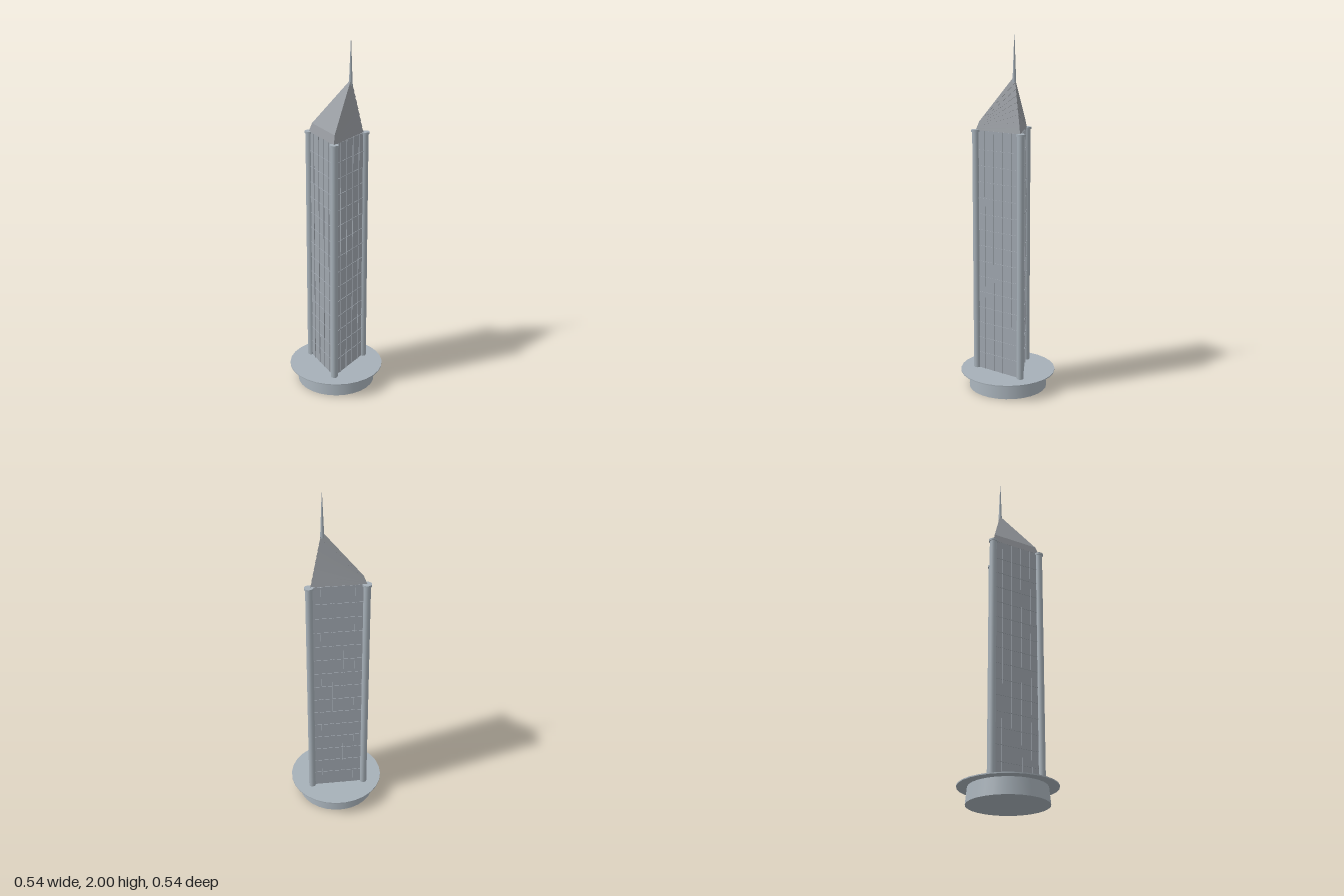
import * as THREE from 'three';

const mat = (name, color, extra = {}) => {
  const m = new THREE.MeshStandardMaterial({ color, ...extra });
  m.name = name;
  return m;
};

export function createModel() {
  const stone = mat('blue grey stone', 0xa6b0b8);
  const glass = mat('grey facade', 0x9fa6ae, { flatShading: true });
  const roofGrey = mat('roof grey', 0x989ca1, { flatShading: true });

  const tower = new THREE.Group();
  tower.name = 'tower';
  const add = (name, geo, material, x = 0, y = 0, z = 0, parent = tower) => {
    const m = new THREE.Mesh(geo, material);
    m.name = name;
    m.position.set(x, y, z);
    parent.add(m);
    return m;
  };

  // Round podium with a thin overhanging plate
  add('podium', new THREE.CylinderGeometry(0.213, 0.223, 0.095, 28), stone, 0, 0.0475);
  add('podiumPlate', new THREE.CylinderGeometry(0.27, 0.27, 0.006, 28), stone, 0, 0.097);

  // Triangular shaft, one corner towards +x
  const R = 0.178, bottom = 0.1, top = 1.482, height = top - bottom;
  const mid = (top + bottom) / 2;
  add('shaft', new THREE.CylinderGeometry(R, R, height, 3, 1, false, Math.PI / 2), glass, 0, mid);

  // Three corner columns with caps, and three facades with thin raised lines
  const side = R * Math.sqrt(3), inset = R / 2;
  for (let i = 0; i < 3; i++) {
    const a = (i * Math.PI * 2) / 3;
    const x = R * Math.cos(a), z = R * Math.sin(a);
    add('cornerColumn', new THREE.CylinderGeometry(0.02, 0.02, height, 16), stone, x, mid, z);
    add('columnCap', new THREE.CylinderGeometry(0.025, 0.025, 0.012, 20), stone, x, top - 0.004, z);

    const facade = new THREE.Group();
    facade.name = 'facade';
    facade.rotation.y = Math.PI / 6 + a;   // outward normal along local +z
    tower.add(facade);
    for (let f = 0; f < 14; f++) {
      add('floorLine', new THREE.BoxGeometry(side - 0.04, 0.004, 0.004), glass,
        0, 0.195 + f * 0.0908, inset + 0.001, facade);
    }
    for (const t of [-0.3, -0.1, 0.1, 0.3]) {
      add('mullion', new THREE.BoxGeometry(0.004, height, 0.006), glass,
        t * side, mid, inset + 0.001, facade);
    }
  }

  // Roof of fanned wedges that share the back edge; each is a triangular loft
  const lerp = THREE.MathUtils.lerp;
  const layers = 9;
  const ring = (t, out) => {
    const bx = lerp(-0.09, -0.078, t), by = lerp(top, 1.53, t), bz = lerp(0.154, 0.138, t);
    return [
      [lerp(0.166, 0.09, t) + out, lerp(top, 1.785, t), 0],
      [bx, by, -bz],
      [bx, by, bz],
    ];
  };
  for (let i = 0; i < layers; i++) {
    const lo = ring(i / layers, 0.004), hi = ring((i + 1) / layers, 0);
    const geo = new THREE.BufferGeometry();
    geo.setAttribute('position', new THREE.Float32BufferAttribute([...lo, ...hi].flat(), 3));
    const index = [0, 2, 1, 3, 4, 5];
    for (let k = 0; k < 3; k++) {
      const n = (k + 1) % 3;
      index.push(k, k + 3, n, n, k + 3, n + 3);
    }
    // Corners run clockwise seen from below, so reverse for outward faces
    for (let k = 0; k < index.length; k += 3) {
      [index[k + 1], index[k + 2]] = [index[k + 2], index[k + 1]];
    }
    geo.setIndex(index);
    const flat = geo.toNonIndexed();
    flat.computeVertexNormals();
    roofGrey.side = THREE.DoubleSide;
    add('roofWedge', flat, roofGrey);
  }

  // Needle spire on the roof peak
  add('spire', new THREE.CylinderGeometry(0.001, 0.011, 0.25, 8), stone, 0.088, 1.875);

  return tower;
}
